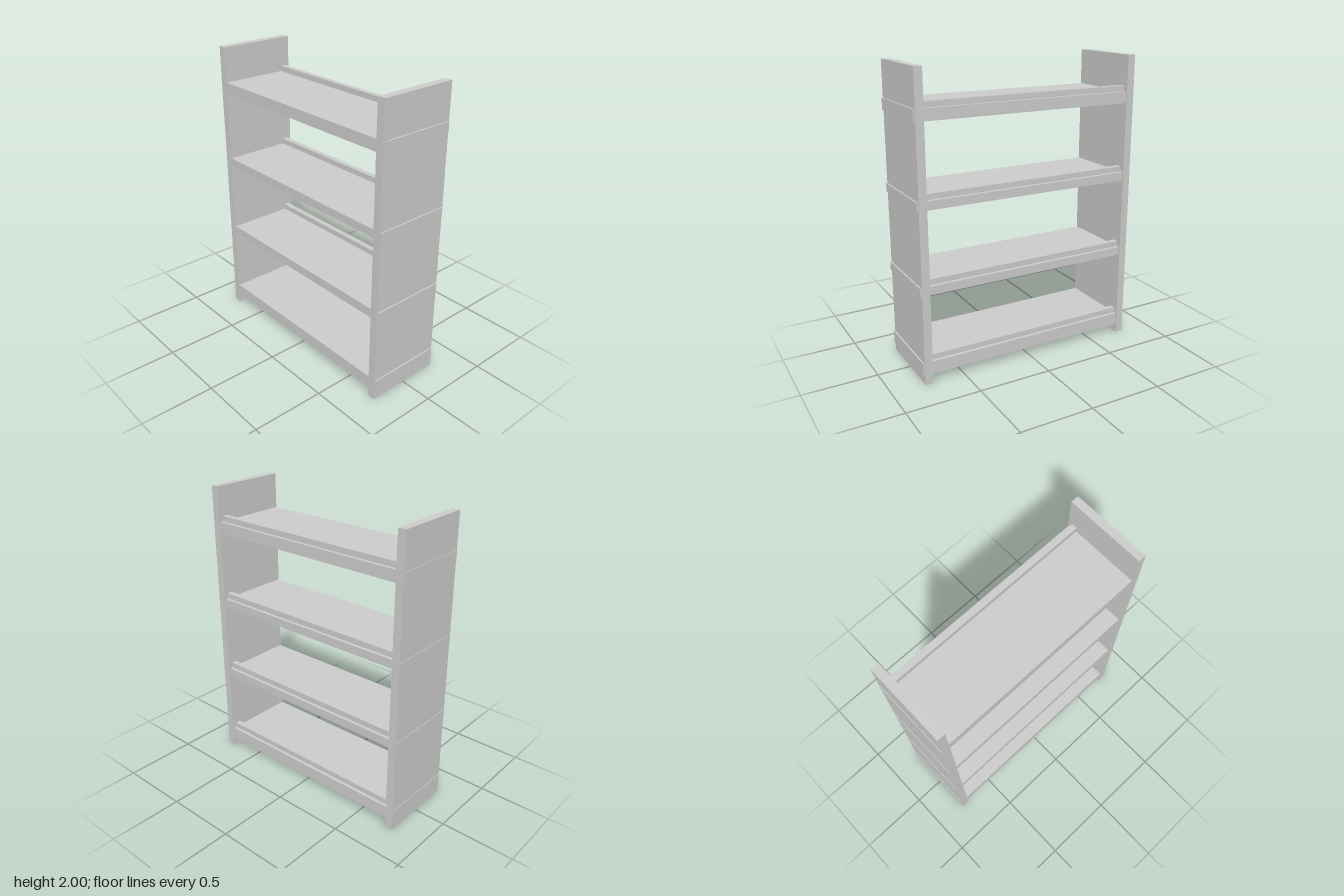
import * as THREE from 'three';

const material = new THREE.MeshStandardMaterial({ color: 0xcccccc, flatShading: true });

// Box given by its lower and upper limits on each axis
function box(name, [x0, x1], [y0, y1], [z0, z1]) {
  const mesh = new THREE.Mesh(new THREE.BoxGeometry(x1 - x0, y1 - y0, z1 - z0), material);
  mesh.position.set((x0 + x1) / 2, (y0 + y1) / 2, (z0 + z1) / 2);
  mesh.name = name;
  return mesh;
}

export function createModel() {
  const group = new THREE.Group();
  group.name = 'bookshelf';

  // Upright side panels
  group.add(box('rightPanel', [-0.781, -0.727], [0, 2], [-0.268, 0.268]));
  group.add(box('leftPanel', [0.721, 0.775], [0, 2], [-0.268, 0.268]));

  // Shelves pass through the panels; each has a low stop rail near the back
  const shelves = [
    { bottom: 0.062, top: 0.148, rail: 0.185 },
    { bottom: 0.604, top: 0.662, rail: 0.7 },
    { bottom: 1.15, top: 1.208, rail: 1.246 },
    { bottom: 1.684, top: 1.76, rail: 1.798 },
  ];
  shelves.forEach(({ bottom, top, rail }, i) => {
    const shelf = new THREE.Group();
    shelf.name = `shelf${i + 1}`;
    shelf.add(box('board', [-0.785, 0.785], [bottom, top], [-0.259, 0.264]));
    shelf.add(box('backRail', [-0.74, 0.735], [top - 0.01, rail], [-0.237, -0.199]));
    group.add(shelf);
  });

  return group;
}
